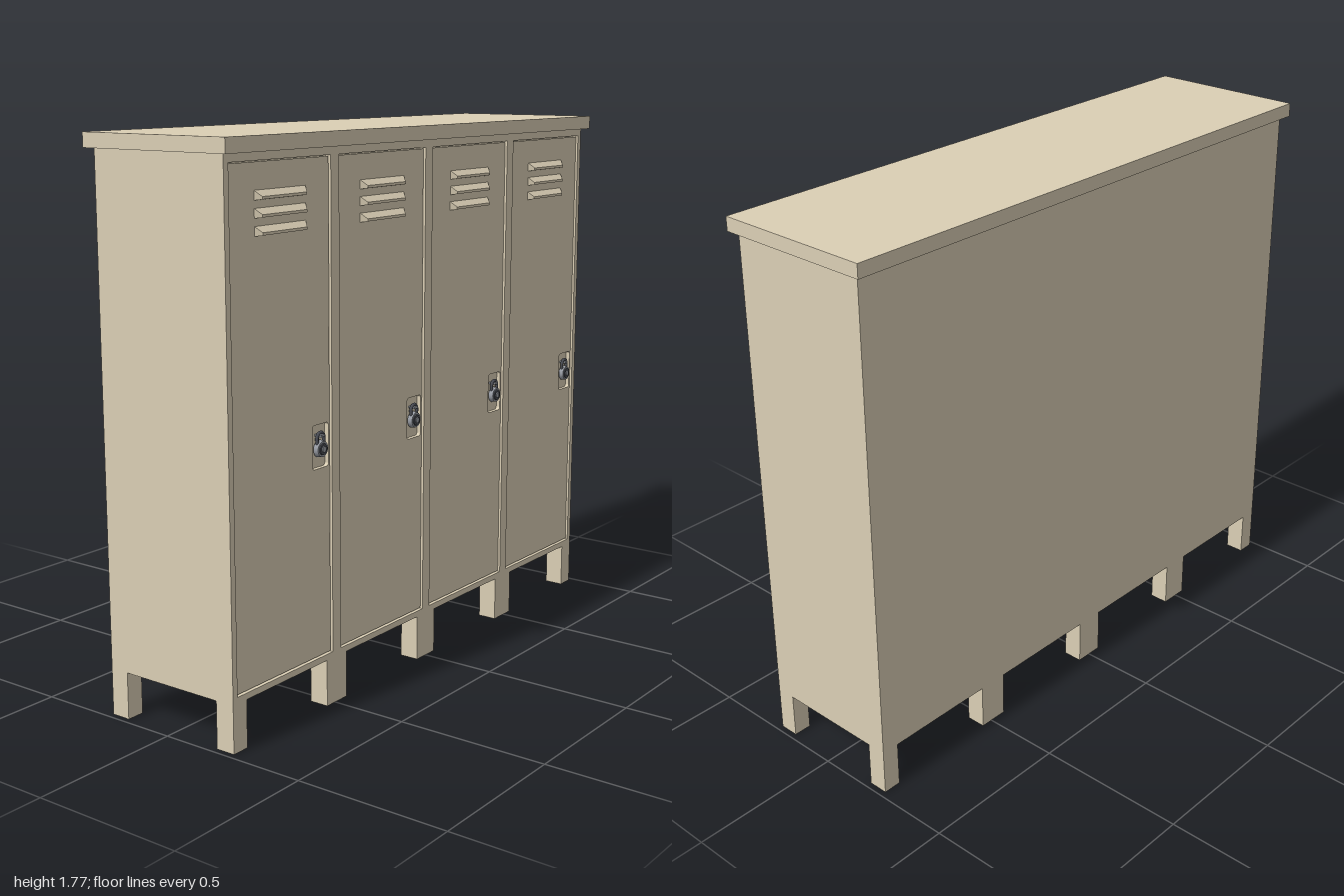
import * as THREE from 'three';

const paint = new THREE.MeshStandardMaterial({ color: 0xdbcfb5, side: THREE.DoubleSide });
const steel = new THREE.MeshStandardMaterial({ color: 0x9a9ea6 });
const dark = new THREE.MeshStandardMaterial({ color: 0x4a4d55 });

// The doors face +x; panels are drawn in (u, y) with u = -z and extruded along +x.
const PITCH = 0.49, DOOR_W = 0.45, Y0 = 0.17, Y1 = 1.7, BACK = -0.245, CORE = 0.225, FRONT = 0.245;

function add(parent, name, geometry, material, x = 0, y = 0, z = 0) {
  const mesh = new THREE.Mesh(geometry, material);
  mesh.name = name;
  mesh.position.set(x, y, z);
  parent.add(mesh);
  return mesh;
}

function block(parent, name, x0, x1, y0, y1, z0, z1) {
  return add(parent, name, new THREE.BoxGeometry(x1 - x0, y1 - y0, z1 - z0), paint,
    (x0 + x1) / 2, (y0 + y1) / 2, (z0 + z1) / 2);
}

function outline(T, u0, u1, y0, y1, r = 0) {
  const s = new T();
  s.moveTo(u0 + r, y0).lineTo(u1 - r, y0);
  if (r) s.absarc(u1 - r, y0 + r, r, -Math.PI / 2, 0);
  s.lineTo(u1, y1 - r);
  if (r) s.absarc(u1 - r, y1 - r, r, 0, Math.PI / 2);
  s.lineTo(u0 + r, y1);
  if (r) s.absarc(u0 + r, y1 - r, r, Math.PI / 2, Math.PI);
  s.lineTo(u0, y0 + r);
  if (r) s.absarc(u0 + r, y0 + r, r, Math.PI, Math.PI * 1.5);
  s.closePath();
  return s;
}

function panel(shape, depth) {
  return new THREE.ExtrudeGeometry(shape, { depth, bevelEnabled: false, curveSegments: 6 }).rotateY(Math.PI / 2);
}

// Pressed vent hood: a box whose outer face drops to a narrow lip with slanted ends
function hoodGeometry() {
  const g = new THREE.BoxGeometry(0.02, 0.03, 0.23).toNonIndexed();
  const p = g.attributes.position;
  for (let i = 0; i < p.count; i++) {
    if (p.getX(i) < 0) continue;
    p.setY(i, p.getY(i) > 0 ? -0.004 : -0.012);
    p.setZ(i, p.getZ(i) * 0.86);
  }
  g.computeVertexNormals();
  return g;
}

// Padlock with a round body, a dial and a bent shackle
function padlock() {
  const g = new THREE.Group();
  g.name = 'padlock';
  const disc = (r, d) => new THREE.CylinderGeometry(r * 0.9, r, d, 20).rotateZ(-Math.PI / 2);
  add(g, 'lockBody', disc(0.027, 0.016), steel, 0.016);
  add(g, 'lockDial', disc(0.019, 0.004), dark, 0.025);
  add(g, 'dialKnob', disc(0.01, 0.005), steel, 0.0275);
  const path = new THREE.CatmullRomCurve3([[-0.015, 0.015], [-0.016, 0.036], [-0.011, 0.046], [0, 0.05],
    [0.011, 0.046], [0.016, 0.036], [0.015, 0.015]].map(([z, y]) => new THREE.Vector3(0.014, y, z)));
  add(g, 'shackle', new THREE.TubeGeometry(path, 24, 0.0055, 8), dark);
  // Staple that the shackle hangs from
  add(g, 'staple', new THREE.BoxGeometry(0.024, 0.007, 0.02), steel, 0.012, 0.041);
  return g;
}

export function createModel() {
  const model = new THREE.Group();
  model.name = 'lockerBank';

  // Cabinet and overhanging top
  block(model, 'cabinet', BACK, CORE, 0.15, 1.73, -0.98, 0.98);
  block(model, 'top', -0.27, 0.27, 1.725, 1.77, -1, 1);

  // Front and back rows of legs
  for (const [z0, z1] of [[-0.98, -0.92], [-0.54, -0.44], [-0.05, 0.05], [0.44, 0.54], [0.92, 0.98]]) {
    block(model, 'frontLeg', 0.18, FRONT, 0, 0.15, z0, z1);
    block(model, 'backLeg', BACK, -0.18, 0, 0.15, z0, z1);
  }

  // Front frame with door openings
  const frame = outline(THREE.Shape, -0.98, 0.98, 0.15, 1.73);
  const hood = hoodGeometry();
  const gap = 0.004, doorDepth = 0.014;

  // Doors, each with a lock pocket and three vents
  const doorShape = outline(THREE.Shape, -DOOR_W / 2 + gap, DOOR_W / 2 - gap, Y0 + gap, Y1 - gap);
  doorShape.holes.push(outline(THREE.Path, 0.138, 0.215, 0.768, 0.904, 0.01));
  const doorGeometry = panel(doorShape, doorDepth);
  for (let i = 0; i < 4; i++) {
    const u = (i - 1.5) * PITCH;
    frame.holes.push(outline(THREE.Path, u - DOOR_W / 2, u + DOOR_W / 2, Y0, Y1));
    const door = new THREE.Group();
    door.name = 'door' + (i + 1);
    door.position.set(CORE, 0, -u);
    add(door, 'doorPanel', doorGeometry, paint);
    for (const y of [1.505, 1.555, 1.605]) add(door, 'ventHood', hood, paint, doorDepth + 0.008, y);
    const lock = padlock();
    lock.position.set(0, 0.828, -0.176);
    door.add(lock);
    model.add(door);
  }
  add(model, 'frontFrame', panel(frame, FRONT - CORE), paint, CORE);

  return model;
}
